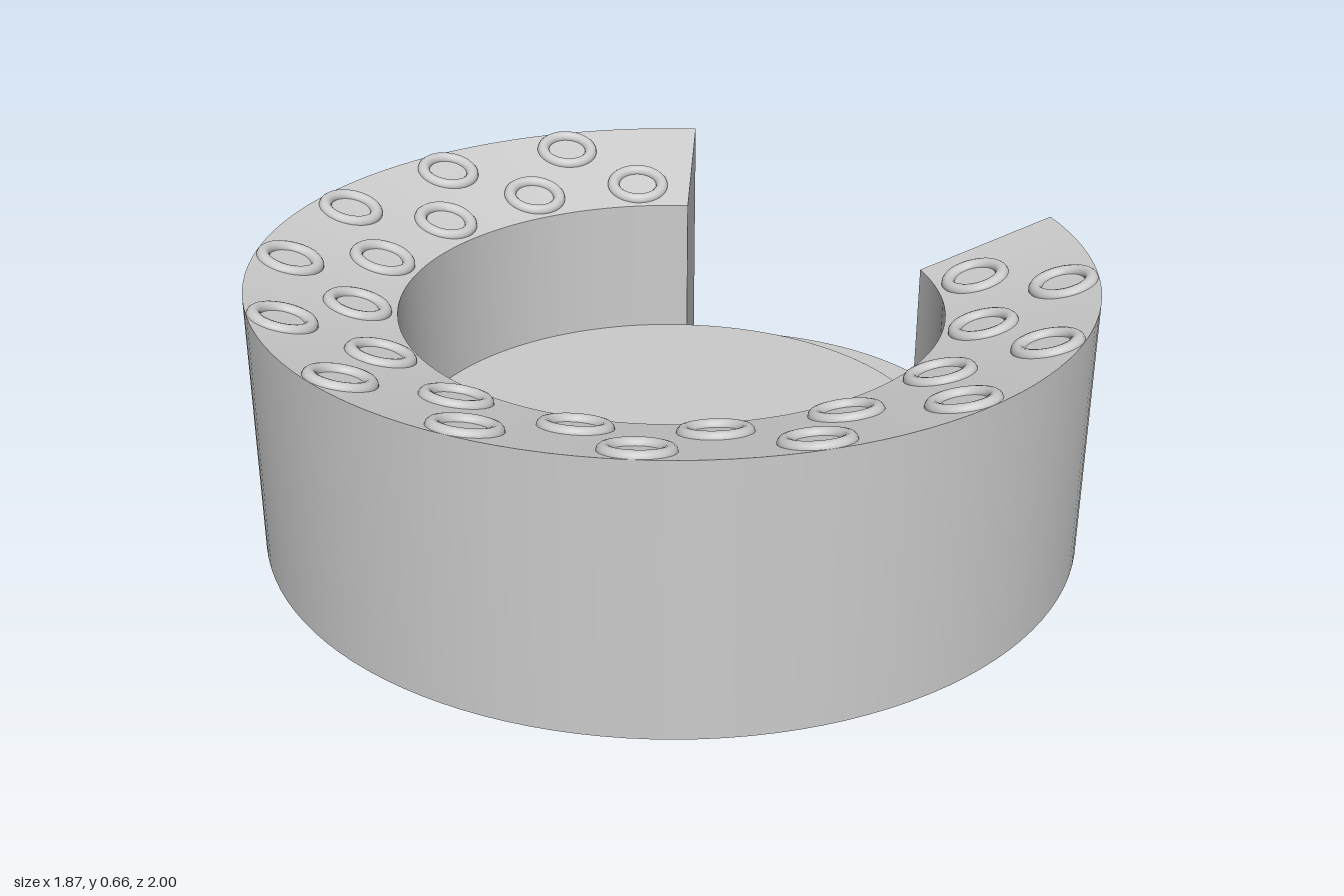
import * as THREE from 'three';

const rad = THREE.MathUtils.degToRad;

export function createModel() {
  const model = new THREE.Group();
  const body = new THREE.Group();
  body.position.x = 0.06;
  model.add(body);

  const material = new THREE.MeshStandardMaterial({ color: 0xcccccc, side: THREE.DoubleSide });
  const add = (name, geometry) => {
    const mesh = new THREE.Mesh(geometry, material);
    mesh.name = name;
    body.add(mesh);
    return mesh;
  };

  const R = 1, r = 0.65, H = 0.65, h = 0.55; // outer and inner wall
  const floorY = 0.2, stepY = 0.1, shift = 0.22;
  const gap = 34; // half angle of the opening, which faces +x
  const stepGap = Math.atan2(r * Math.sin(rad(gap)), shift + r * Math.cos(rad(gap)));
  const stepDeg = THREE.MathUtils.radToDeg(stepGap);

  // Surface of revolution between two (radius, height) points, angles measured from +x
  const band = (name, a, b, from, to) => add(name, new THREE.LatheGeometry(
    [new THREE.Vector2(...a), new THREE.Vector2(...b)],
    Math.max(6, Math.ceil((to - from) / 3)), rad(90 + from), rad(to - from)));

  // Hollow C-shaped wall, open underneath
  band('outerWall', [R, 0], [R, H], gap, 360 - gap);
  band('slopedRim', [R, H], [r, h], gap, 360 - gap);
  band('innerWall', [r, h], [r, 0], gap, 360 - gap);

  // Flat panels closing the wall at both sides of the opening
  const endShape = new THREE.Shape([[r, 0], [R, 0], [R, H], [r, h]].map(p => new THREE.Vector2(...p)));
  for (const s of [-1, 1]) {
    add('endPanel', new THREE.ShapeGeometry(endShape)).rotation.y = s * rad(gap);
    // Low wall between the opening's edge and the step
    band('floorEdge', [r, 0], [r, floorY], s > 0 ? stepDeg : -gap, s > 0 ? gap : -stepDeg);
  }

  // Round floor and the riser down to the step
  const floor = new THREE.CircleGeometry(r, 120).rotateX(-Math.PI / 2);
  add('floor', floor).position.y = floorY;
  band('stepRiser', [r, stepY], [r, floorY], -stepDeg, stepDeg);

  // Step: crescent top, curved front and straight sides, open underneath
  const stepShape = new THREE.Shape();
  stepShape.absarc(0, 0, r, stepGap, -stepGap, true);
  stepShape.absarc(shift, 0, r, -rad(gap), rad(gap), false);
  const stepTop = new THREE.ShapeGeometry(stepShape, 24).rotateX(-Math.PI / 2);
  add('stepTop', stepTop).position.y = stepY;
  band('stepFront', [r, 0], [r, stepY], -gap, gap).position.x = shift;
  const cornerR = r * Math.sin(rad(gap)) / Math.sin(stepGap);
  for (const s of [-1, 1]) {
    const side = new THREE.PlaneGeometry(cornerR - r, stepY).translate((cornerR + r) / 2, stepY / 2, 0);
    add('stepSide', side).rotation.y = s * stepGap;
  }

  // Two staggered rows of rings lying on the sloped rim
  const slope = Math.atan2(H - h, R - r);
  const ring = new THREE.TorusGeometry(0.066, 0.016, 12, 36).rotateX(Math.PI / 2);
  const ringRow = (radius, first, count) => {
    for (let i = 0; i < count; i++) {
      const pivot = new THREE.Group();
      pivot.name = 'rimRing';
      pivot.rotation.y = rad(first + i * 22.5);
      const mesh = new THREE.Mesh(ring, material);
      mesh.name = 'ring';
      mesh.position.set(radius, h + (radius - r) * Math.tan(slope), 0);
      mesh.rotation.z = slope;
      pivot.add(mesh);
      body.add(pivot);
    }
  };
  ringRow(0.92, 56.25, 12);
  ringRow(0.742, 45, 13);

  return model;
}
